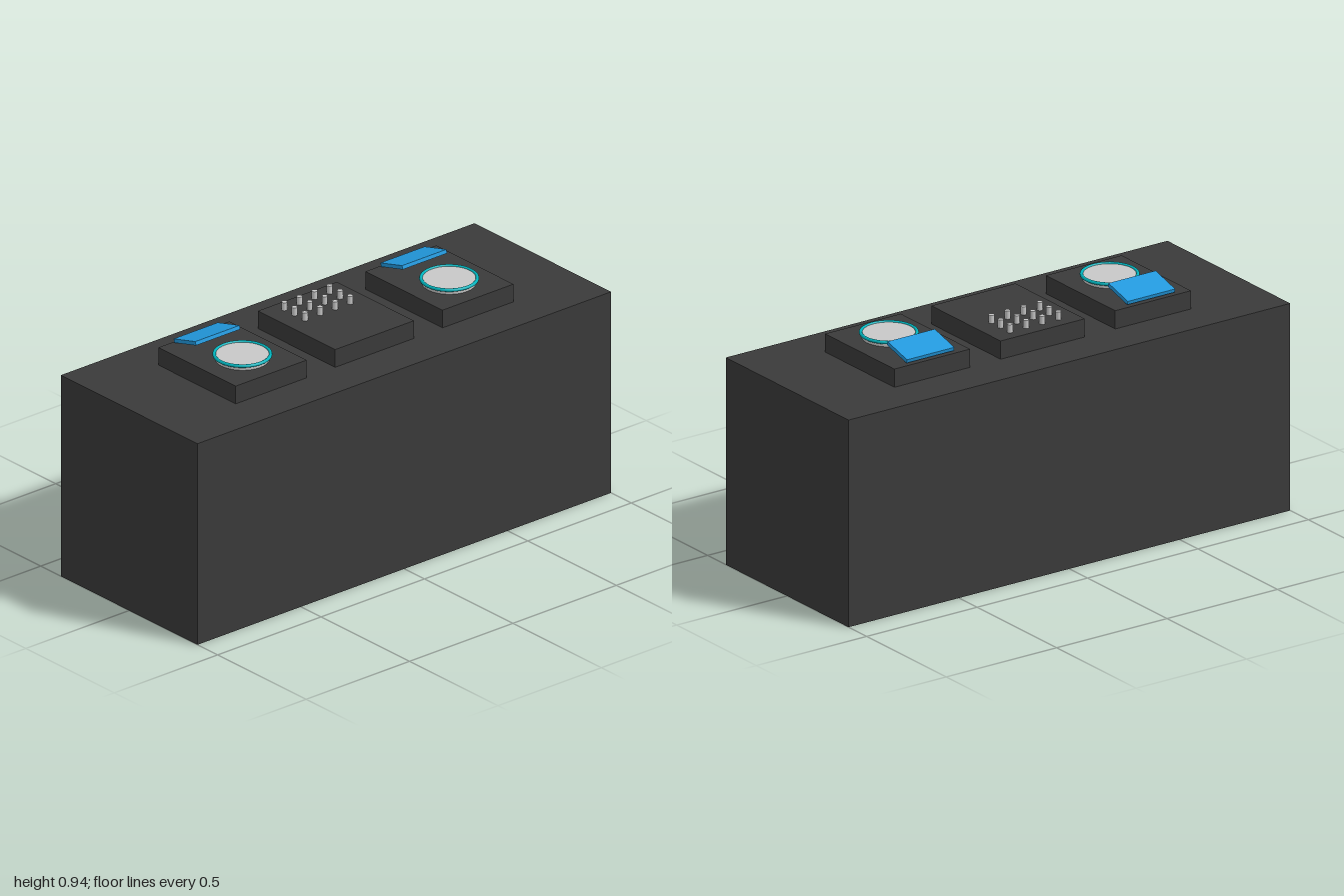
import * as THREE from 'three';

const charcoal = new THREE.MeshStandardMaterial({ name: 'charcoal', color: 0x3a3a3a });
const silver = new THREE.MeshStandardMaterial({ name: 'silver', color: 0xc8c8c8 });
const blue = new THREE.MeshStandardMaterial({ name: 'screen blue', color: 0x2299dd });
const teal = new THREE.MeshStandardMaterial({ name: 'teal', color: 0x00b4bd });

function add(parent, name, geometry, material, x, y, z) {
  const mesh = new THREE.Mesh(geometry, material);
  mesh.name = name;
  mesh.position.set(x, y, z);
  parent.add(mesh);
  return mesh;
}

const TABLE_TOP = 0.818;
const UNIT_HEIGHT = 0.072;
const UNIT_TOP = TABLE_TOP + UNIT_HEIGHT;
const UNIT_DEPTH = 0.436;

// Player with a platter, a glowing rim and a screen that slopes down to the back
function createDeck(name, x) {
  const deck = new THREE.Group();
  deck.name = name;
  deck.position.set(x, UNIT_TOP, 0);
  add(deck, 'deckBody', new THREE.BoxGeometry(0.343, UNIT_HEIGHT, UNIT_DEPTH), charcoal, 0, -UNIT_HEIGHT / 2, 0);
  add(deck, 'platter', new THREE.CylinderGeometry(0.1, 0.1, 0.02, 32), silver, 0, 0.01, 0.055);
  const rim = add(deck, 'platterRim', new THREE.TorusGeometry(0.104, 0.0065, 10, 40), teal, 0, 0.019, 0.055);
  rim.rotation.x = Math.PI / 2;
  const screen = add(deck, 'screen', new THREE.BoxGeometry(0.214, 0.015, 0.127), blue, 0, 0.028, -0.145);
  screen.rotation.x = -0.262;
  return deck;
}

// Mixer with a four by three grid of knobs
function createMixer() {
  const mixer = new THREE.Group();
  mixer.name = 'mixer';
  mixer.position.y = UNIT_TOP;
  add(mixer, 'mixerBody', new THREE.BoxGeometry(0.381, UNIT_HEIGHT, UNIT_DEPTH), charcoal, 0, -UNIT_HEIGHT / 2, 0);
  const knob = new THREE.CylinderGeometry(0.011, 0.011, 0.032, 12);
  for (let row = 0; row < 3; row++) {
    for (let col = 0; col < 4; col++) {
      add(mixer, 'knob', knob, silver, (col - 1.5) * 0.073, 0.016, -0.048 - row * 0.058);
    }
  }
  return mixer;
}

export function createModel() {
  const model = new THREE.Group();
  model.name = 'mixingBooth';
  add(model, 'table', new THREE.BoxGeometry(2, TABLE_TOP, 0.772), charcoal, 0, TABLE_TOP / 2, 0);
  model.add(createDeck('leftDeck', 0.5), createDeck('rightDeck', -0.5), createMixer());
  return model;
}
